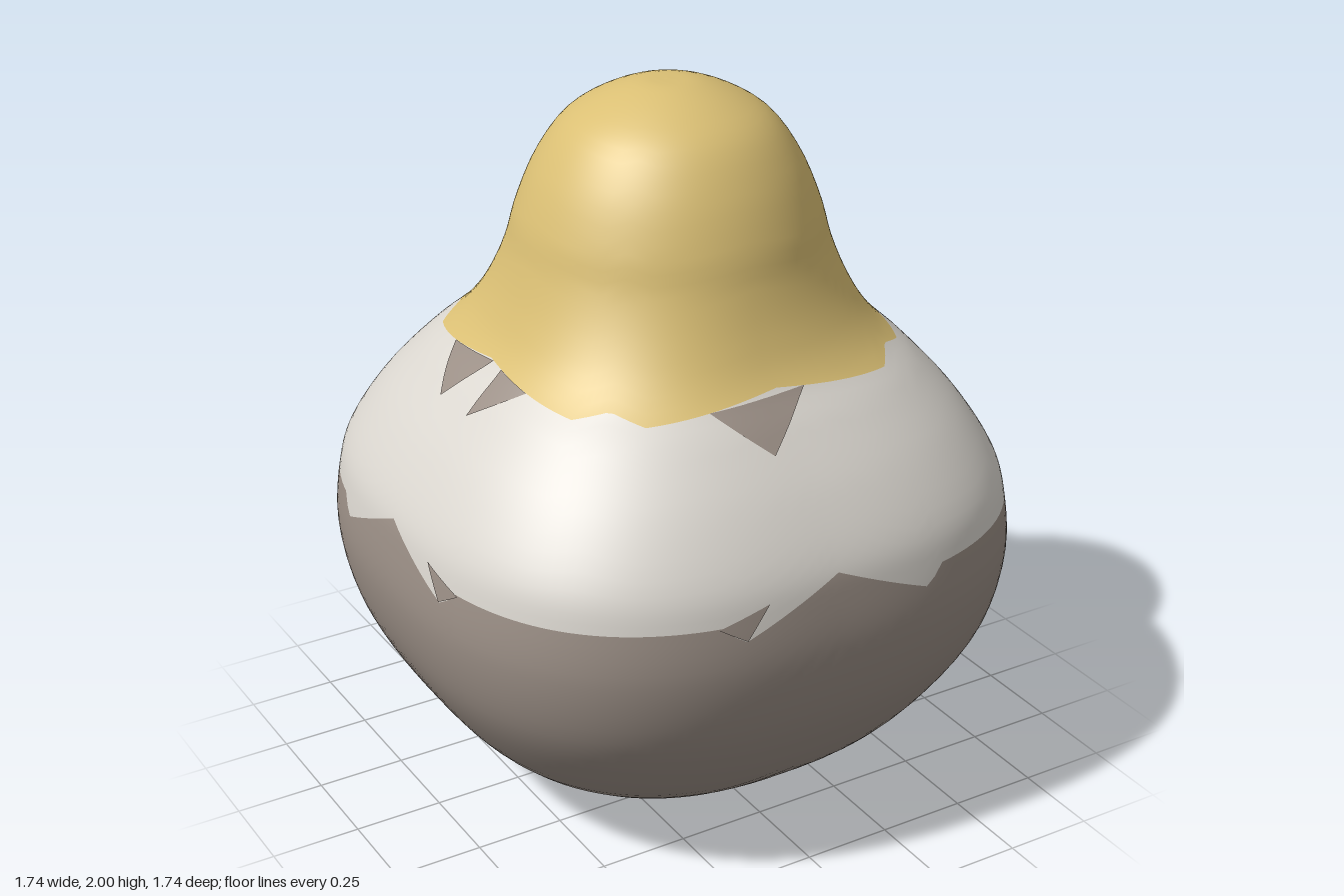
import * as THREE from 'three';

const mat = (name, color) => Object.assign(new THREE.MeshStandardMaterial({ color }), { name });

// Body profile: half-width, height, squareness exponent of the cross-section
const profile = new THREE.CatmullRomCurve3([
  [0, 0, 2.2], [0.2, 0.012, 2.2], [0.42, 0.075, 2.3], [0.62, 0.2, 2.45], [0.75, 0.36, 2.6],
  [0.835, 0.53, 2.7], [0.87, 0.71, 2.7], [0.858, 0.86, 2.7], [0.835, 0.95, 2.7], [0.745, 1.1, 2.7],
  [0.63, 1.235, 2.65], [0.54, 1.325, 2.5], [0.48, 1.43, 2.25], [0.435, 1.56, 2.05], [0.41, 1.66, 2],
  [0.355, 1.79, 2], [0.28, 1.895, 2], [0.19, 1.955, 2], [0.08, 1.995, 2], [0, 2, 2],
].map(p => new THREE.Vector3(...p)), false, 'centripetal');

// Curve parameter at a given height
function paramAt(y) {
  let lo = 0, hi = 1;
  for (let i = 0; i < 30; i++) {
    const mid = (lo + hi) / 2;
    if (profile.getPoint(mid).y < y) lo = mid; else hi = mid;
  }
  return (lo + hi) / 2;
}

// Point on the rounded-square body; phi = 0 is the front, 90 degrees is +x
function surface(phi, t) {
  const { x: r, y, z: n } = profile.getPoint(t);
  const s = Math.sin(phi), c = Math.cos(phi);
  const k = Math.max(r, 0) / Math.pow(Math.abs(s) ** n + Math.abs(c) ** n, 1 / n);
  return new THREE.Vector3(k * s, y, k * c);
}

function normalAt(phi, t) {
  const e = 0.003, q = THREE.MathUtils.clamp(t, 0.006, 0.994);
  const across = surface(phi + e, q).sub(surface(phi - e, q));
  const up = surface(phi, q + e).sub(surface(phi, q - e));
  return across.cross(up).normalize();
}

function makeGeometry(samples, index, lift = 0) {
  const pos = [], nor = [];
  for (const [phi, t] of samples) {
    const n = normalAt(phi, t);
    pos.push(...surface(phi, t).addScaledVector(n, lift).toArray());
    nor.push(...n.toArray());
  }
  const g = new THREE.BufferGeometry();
  g.setAttribute('position', new THREE.Float32BufferAttribute(pos, 3));
  g.setAttribute('normal', new THREE.Float32BufferAttribute(nor, 3));
  g.setIndex(index);
  return g;
}

// Ring of surface between two colour borders given as heights by angle
function band(bottom, top, rows, cols = 180) {
  const samples = [], index = [];
  for (let i = 0; i <= cols; i++) {
    const phi = (i / cols) * Math.PI * 2;
    const t0 = bottom ? paramAt(bottom(phi)) : 0, t1 = top ? paramAt(top(phi)) : 1;
    for (let j = 0; j <= rows; j++) samples.push([phi, t0 + (t1 - t0) * j / rows]);
  }
  for (let i = 0; i < cols; i++) for (let j = 0; j < rows; j++) {
    const a = i * (rows + 1) + j, b = a + rows + 1;
    index.push(a, b, b + 1, a, b + 1, a + 1);
  }
  return makeGeometry(samples, index);
}

function interpolate(points, x) {
  for (let i = 1; i < points.length; i++) {
    const [x0, y0] = points[i - 1], [x1, y1] = points[i];
    if (x <= x1) return y0 + (y1 - y0) * (x - x0) / (x1 - x0);
  }
  return points[points.length - 1][1];
}

// Angle from the middle of the nearest side, 0 to 45 degrees
function sideAngle(phi) {
  const d = THREE.MathUtils.radToDeg(phi);
  return Math.abs(d - 90 * Math.round(d / 90));
}

// Zigzag borders: belly to chest, and chest to hood
const bellyEdge = phi => interpolate([[0, 0.93], [18.5, 0.81], [22, 0.86], [45, 0.86]], sideAngle(phi));
const hoodEdge = phi => {
  const plainCorner = phi > Math.PI / 2 && phi < Math.PI;
  return interpolate([[0, 1.325], [36, 1.285], [45, plainCorner ? 1.275 : 1.31]], sideAngle(phi));
};

// Thin triangular patch on side k (0 front, 1 +x, 2 back, 3 -x); corners are [offset, height]
function patch(k, corners) {
  const [a, b, c] = corners, N = 6, samples = [], index = [], rowStart = [];
  const flip = (b[0] - a[0]) * (c[1] - a[1]) - (b[1] - a[1]) * (c[0] - a[0]) < 0;
  for (let i = 0; i <= N; i++) {
    rowStart.push(samples.length);
    for (let j = 0; j <= N - i; j++) {
      const [u, y] = [0, 1].map(d => a[d] + (b[d] - a[d]) * j / N + (c[d] - a[d]) * i / N);
      const t = paramAt(y);
      samples.push([k * Math.PI / 2 + Math.atan(u / profile.getPoint(t).x), t]);
    }
  }
  const add = (p, q, r) => index.push(...(flip ? [p, r, q] : [p, q, r]));
  for (let i = 0; i < N; i++) for (let j = 0; j < N - i; j++) {
    const p = rowStart[i] + j, q = rowStart[i + 1] + j;
    add(p, p + 1, q);
    if (j < N - i - 1) add(p + 1, q + 1, q);
  }
  return makeGeometry(samples, index, 0.003);
}

export function createModel() {
  const gold = mat('gold', 0xdabf74);
  const white = mat('warmWhite', 0xdad6cf);
  const taupe = mat('taupe', 0x9a8e85);
  const group = new THREE.Group();
  group.name = 'roundFigure';
  const add = (name, geometry, material) => {
    const m = new THREE.Mesh(geometry, material);
    m.name = name;
    group.add(m);
  };

  add('belly', band(null, bellyEdge, 28), taupe);
  add('chest', band(bellyEdge, hoodEdge, 14), white);
  add('hood', band(hoodEdge, null, 28), gold);

  // Pointed marks under the hood: side, left offset, right offset, tip offset, tip height
  const marks = [
    [0, -0.21, 0.08, -0.08, 1.2],
    [1, -0.07, 0.2, 0.06, 1.22],
    [2, 0.08, 0.21, 0.08, 1.21], [2, -0.22, 0.04, -0.06, 1.21],
    [3, -0.2, 0.02, -0.08, 1.21], [3, 0.07, 0.21, 0.07, 1.21],
  ];
  for (const [k, l, r, tip, y] of marks) {
    const top = u => [u, hoodEdge(Math.atan(Math.abs(u) / 0.55))];
    add('collarMark', patch(k, [top(l), [tip, y], top(r)]), taupe);
  }

  // Small barbs that overhang the belly border on each side
  [-1, 1, 1, 1].forEach((s, k) =>
    add('bellyBarb', patch(k, [[s * 0.36, 0.858], [s * 0.28, 0.815], [s * 0.21, 0.9]]), taupe));

  return group;
}
